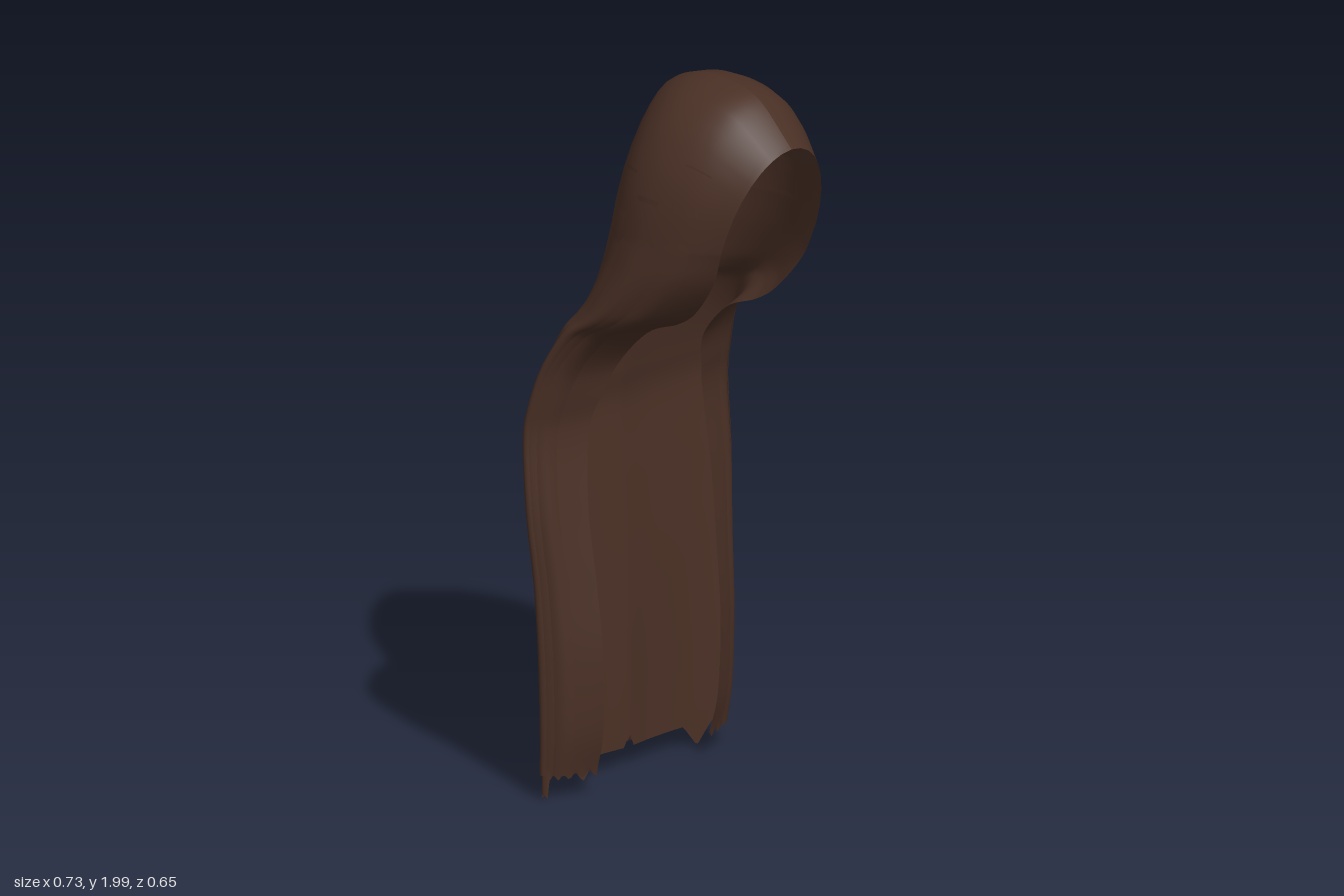
import * as THREE from 'three';

const hairMaterial = new THREE.MeshStandardMaterial({ color: 0x4a3025, side: THREE.DoubleSide });
hairMaterial.name = 'dark brown hair';

// Cross-sections down the length: height, half width, back z, front edge x, front edge z, flatness of the back
const RINGS = [
  [1.6, .265, -.21, .17, .24, 0], [1.5, .28, -.225, .16, .2, 0], [1.4, .298, -.24, .145, .12, .15],
  [1.35, .308, -.25, .14, .05, .3], [1.3, .32, -.262, .14, -.06, .5], [1.2, .34, -.282, .15, -.155, .8],
  [1.1, .352, -.302, .18, -.195, 1], [1, .357, -.317, .205, -.215, 1], [.8, .357, -.306, .22, -.2, 1],
  [.6, .342, -.296, .215, -.175, 1], [.4, .335, -.291, .21, -.155, 1], [.2, .33, -.288, .205, -.16, 1],
  [.075, .325, -.286, .2, -.19, 1],
];
const LAST = RINGS.length;

// Centre parting from the back of the crown to the forehead: height, z
const PARTING = [[1.88, -.16], [1.95, -.11], [1.99, -.02], [1.998, .08], [1.972, .2], [1.865, .325]];

// Shape of half a section, back centre to front edge, for the head and for the length
const HEAD = { x: [0, .53, .89, 1], lock: .68, z: [0, .07, .27, .51, .78, 1] };
const BODY = { x: [0, .33, .75, 1], lock: .75, z: [.1, 0, .02, .22, .6, 1] };

const { lerp, clamp } = THREE.MathUtils;

// Smooth interpolation through evenly spaced values
function smooth(values, t) {
  const n = values.length - 1;
  const i = Math.min(Math.floor(clamp(t, 0, n)), n - 1);
  const f = clamp(t, 0, n) - i;
  const b = values[i], c = values[i + 1];
  const a = i > 0 ? values[i - 1] : 2 * b - c;
  const d = i + 2 <= n ? values[i + 2] : 2 * c - b;
  return b + .5 * f * (c - a + f * (2 * a - 5 * b + 4 * c - d + f * (3 * (b - c) + d - a)));
}

// Point on the hair: s runs right front edge (-1), back centre (0), left front edge (1);
// v runs parting (0), temples (1), tips (LAST)
function hairPoint(s, v) {
  const side = s < 0 ? -1 : 1;
  const u = Math.abs(s) * 5;
  const ring = RINGS[0].map((_, k) => smooth(RINGS.map((r) => r[k]), Math.max(v - 1, 0)));
  const [height, w, back, frontX, frontZ, flat] = ring;
  const xs = HEAD.x.map((x, i) => w * lerp(x, BODY.x[i], flat));
  xs.push(lerp(frontX, w, lerp(HEAD.lock, BODY.lock, flat)), frontX);
  const zs = HEAD.z.map((z, i) => lerp(back, frontZ, lerp(z, BODY.z[i], flat)));
  let x = smooth(xs, u), y = height, z = smooth(zs, u);
  if (v < 1) { // rounded crown
    const c = Math.cos(v * Math.PI / 2);
    x *= Math.sin(v * Math.PI / 2);
    y = lerp(y, smooth(PARTING.map((p) => p[0]), u), c);
    z = lerp(z, smooth(PARTING.map((p) => p[1]), u), c);
  }
  return new THREE.Vector3(x * side, y, z);
}

// Ragged tips: a few long points and one notch at the back
function tipHeight(s, p) {
  if (Math.abs(s) > .7) return p.y + .008 * Math.sin(s * 90);
  let y = .073;
  for (const spike of [-.315, -.155, .25]) y = Math.min(y, .012 + Math.abs(p.x - spike) * 1.3);
  return Math.max(y, .115 - Math.abs(p.x) * 2.5);
}

// Patch of the hair surface, lifted outwards by lift(a, b), with a and b in 0..1
function sheet(name, s0, s1, v0, v1, cols, rows, lift) {
  const positions = [], index = [];
  for (let j = 0; j <= rows; j++) {
    for (let i = 0; i <= cols; i++) {
      const s = lerp(s0, s1, i / cols), v = lerp(v0, v1, j / rows);
      const p = hairPoint(s, v);
      if (lift) {
        const ds = hairPoint(s + .01, v).sub(hairPoint(s - .01, v));
        const dv = hairPoint(s, v + .02).sub(hairPoint(s, v - .02));
        p.addScaledVector(ds.cross(dv).normalize(), lift(i / cols, j / rows));
      }
      if (v >= LAST - 1e-6) p.y = tipHeight(s, p);
      positions.push(p.x, p.y, p.z);
      if (i < cols && j < rows) {
        const a = j * (cols + 1) + i, c = a + cols + 1;
        index.push(a, a + 1, c, a + 1, c + 1, c);
      }
    }
  }
  const geometry = new THREE.BufferGeometry();
  geometry.setAttribute('position', new THREE.Float32BufferAttribute(positions, 3));
  geometry.setIndex(index);
  geometry.computeVertexNormals();
  const mesh = new THREE.Mesh(geometry, hairMaterial);
  mesh.name = name;
  return mesh;
}

export function createModel() {
  const group = new THREE.Group();
  group.name = 'longHair';

  // Main hair from the parting down to the tips
  group.add(sheet('hairBody', -1, 1, 0, LAST, 120, 104));

  // Thin layered locks lying over the back and sides: start s, end s, start v
  const locks = [[.1, .3, .9], [.36, .5, .7], [.56, .68, .8], [.74, .86, .6]];
  const lift = (a, b) => .006 * Math.sin(Math.PI * lerp(.08, .92, a)) * Math.min(1, b * 4);
  for (const side of [-1, 1]) {
    for (const [a, b, v] of locks) {
      const [s0, s1] = side > 0 ? [a, b] : [-b, -a];
      group.add(sheet(side > 0 ? 'leftLock' : 'rightLock', s0, s1, v, LAST - .05, 8, 60, lift));
    }
  }
  return group;
}
